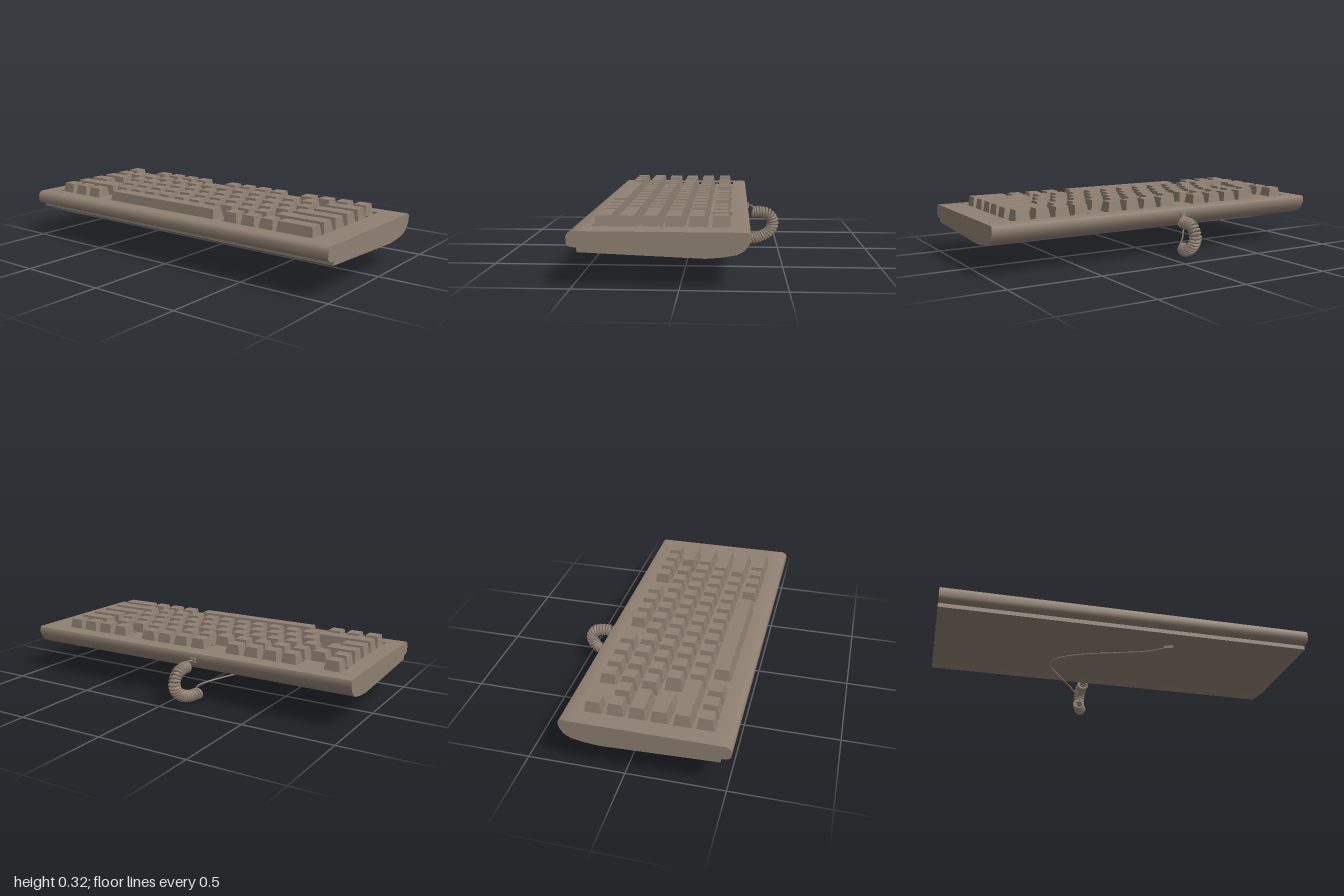
import * as THREE from 'three';
import { toCreasedNormals } from 'three/addons/utils/BufferGeometryUtils.js';

const V = (x, y, z) => new THREE.Vector3(x, y, z);
const KEY_BASE = 0.245, KEY_TOP = 0.32, DECK = 0.272;
const PITCH = 0.11, KEY_W = 0.09;

// Tapered keycap: a box whose top corners are pulled inwards
function keyGeometry(x0, x1, z, top = KEY_TOP) {
  const w = x1 - x0, h = top - KEY_BASE, inset = 0.011;
  const g = new THREE.BoxGeometry(w, h, KEY_W);
  const p = g.attributes.position;
  for (let i = 0; i < p.count; i++) {
    if (p.getY(i) > 0) {
      p.setX(i, p.getX(i) - Math.sign(p.getX(i)) * inset);
      p.setZ(i, p.getZ(i) - Math.sign(p.getZ(i)) * inset);
    }
  }
  g.computeVertexNormals();
  return g.translate((x0 + x1) / 2, KEY_BASE + h / 2, z);
}

// Coil wound around a centre line
class Coil extends THREE.Curve {
  constructor(path, radius, turns) {
    super();
    Object.assign(this, { path, radius, turns });
  }
  getPoint(t, target = new THREE.Vector3()) {
    const side = V(1, 0, 0);
    const normal = this.path.getTangentAt(t).cross(side).normalize();
    const a = t * this.turns * Math.PI * 2;
    return target.copy(this.path.getPointAt(t))
      .addScaledVector(side, Math.cos(a) * this.radius)
      .addScaledVector(normal, Math.sin(a) * this.radius);
  }
}

export function createModel() {
  const model = new THREE.Group();
  const plastic = new THREE.MeshStandardMaterial({ color: 0x8f8071 });
  plastic.name = 'taupe plastic';
  const add = (name, geometry, parent = model) => {
    const mesh = new THREE.Mesh(geometry, plastic);
    mesh.name = name;
    parent.add(mesh);
    return mesh;
  };

  // Case: side profile (z, y) extruded across the width, with a bed for the keys
  const profile = new THREE.Shape([
    [0.43, KEY_BASE], [0.43, DECK], [0.493, DECK], [0.505, 0.265], [0.515, 0.252],
    [0.515, 0.216], [0.505, 0.204], [0.492, 0.198], [0.466, 0.197], [0.466, 0.175],
    [0.15, 0.162], [-0.12, 0.151], [-0.2, 0.158], [-0.26, 0.169], [-0.295, 0.187],
    [-0.315, 0.213], [-0.325, 0.235], [-0.325, 0.258], [-0.321, 0.268], [-0.312, DECK],
    [-0.255, DECK], [-0.255, KEY_BASE],
  ].map(([z, y]) => new THREE.Vector2(z, y)));
  const caseGeo = new THREE.ExtrudeGeometry(profile, { depth: 2, bevelEnabled: false });
  caseGeo.rotateY(-Math.PI / 2).translate(1, 0, 0);
  add('case', toCreasedNormals(caseGeo, 0.7));

  // Top panel with openings around the key blocks
  const outline = (pts, Type) => new Type(pts.map(([x, z]) => new THREE.Vector2(x, -z)));
  const rect = (x0, x1, z0, z1) => [[x0, z0], [x1, z0], [x1, z1], [x0, z1]];
  const panel = outline(rect(-1, 1, -0.255, 0.43), THREE.Shape);
  for (const [x0, x1] of [[-0.91, -0.8], [-0.67, -0.228], [-0.12, 0.332], [0.412, 0.862]]) {
    panel.holes.push(outline(rect(x0, x1, -0.24, -0.135), THREE.Path));
  }
  panel.holes.push(outline([
    [-0.908, -0.127], [0.866, -0.127], [0.866, 0.422], [0.31, 0.422], [0.31, 0.316],
    [0.27, 0.316], [0.27, 0.422], [-0.503, 0.422], [-0.503, 0.316], [-0.58, 0.316],
    [-0.58, 0.422], [-0.908, 0.422],
  ], THREE.Path));
  const panelGeo = new THREE.ExtrudeGeometry(panel, { depth: DECK - KEY_BASE, bevelEnabled: false });
  add('topPanel', panelGeo.rotateX(-Math.PI / 2).translate(0, KEY_BASE, 0));

  // Key rows: runs are [first x, count, pitch], wide keys are [x0, x1]
  const rows = [
    { name: 'functionRow', z: -0.186, runs: [[-0.9, 1], [-0.662, 4], [-0.11, 4], [0.422, 4]], wide: [] },
    { name: 'numberRow', z: -0.075, runs: [[-0.893, 13, 0.1155]], wide: [[0.645, 0.856]] },
    { name: 'upperLetterRow', z: 0.035, runs: [[-0.674, 12]], wide: [[-0.895, -0.718], [0.642, 0.856]] },
    { name: 'homeRow', z: 0.145, runs: [[-0.617, 11]], wide: [[-0.898, -0.755], [0.583, 0.852]] },
    { name: 'lowerLetterRow', z: 0.257, runs: [[-0.563, 10]], wide: [[-0.895, -0.583], [0.553, 0.852]] },
    { name: 'bottomRow', z: 0.369, runs: [[-0.895, 3], [0.32, 3]], wide: [[0.642, 0.856]] },
  ];
  for (const { name, z, runs, wide } of rows) {
    const row = new THREE.Group();
    row.name = name;
    model.add(row);
    for (const [x, count, pitch = PITCH] of runs) {
      for (let i = 0; i < count; i++) {
        add('key', keyGeometry(x + i * pitch, x + i * pitch + KEY_W, z), row);
      }
    }
    for (const [x0, x1] of wide) add('wideKey', keyGeometry(x0, x1, z), row);
  }
  add('lockKeyStep', keyGeometry(-0.775, -0.685, 0.145, 0.295));
  add('spaceBar', keyGeometry(-0.492, 0.26, 0.369));

  // Coiled cord looping behind and under the case
  const coilPath = new THREE.CatmullRomCurve3([
    V(-0.083, 0.198, -0.355), V(-0.083, 0.198, -0.405), V(-0.083, 0.182, -0.452),
    V(-0.083, 0.138, -0.477), V(-0.084, 0.09, -0.46), V(-0.088, 0.056, -0.415),
    V(-0.1, 0.037, -0.355), V(-0.122, 0.042, -0.3),
  ]);
  add('coiledCord', new THREE.TubeGeometry(new Coil(coilPath, 0.026, 24), 384, 0.0085, 6));

  // Lead from the socket into the coil
  const lead = new THREE.CatmullRomCurve3([
    V(-0.105, 0.232, -0.32), V(-0.1, 0.232, -0.345), V(-0.075, 0.222, -0.362), V(-0.057, 0.2, -0.357),
  ]);
  add('cordLead', new THREE.TubeGeometry(lead, 16, 0.005, 6));
  const socket = new THREE.BoxGeometry(0.03, 0.026, 0.02);
  add('cordSocket', socket.translate(-0.105, 0.232, -0.326));

  // Straight cable under the case, ending in a small plug
  const cable = new THREE.CatmullRomCurve3([
    V(-0.1, 0.05, -0.3), V(-0.115, 0.082, -0.305), V(-0.2, 0.113, -0.2), V(-0.29, 0.134, -0.1),
    V(-0.35, 0.14, 0), V(-0.335, 0.141, 0.08), V(-0.22, 0.148, 0.15),
    V(-0.02, 0.151, 0.22), V(0.13, 0.148, 0.28), V(0.24, 0.16, 0.33),
  ]);
  add('cable', new THREE.TubeGeometry(cable, 60, 0.0045, 6));
  const plug = new THREE.BoxGeometry(0.05, 0.018, 0.018);
  add('cablePlug', plug.rotateY(-0.4).translate(0.25, 0.163, 0.335));

  return model;
}
